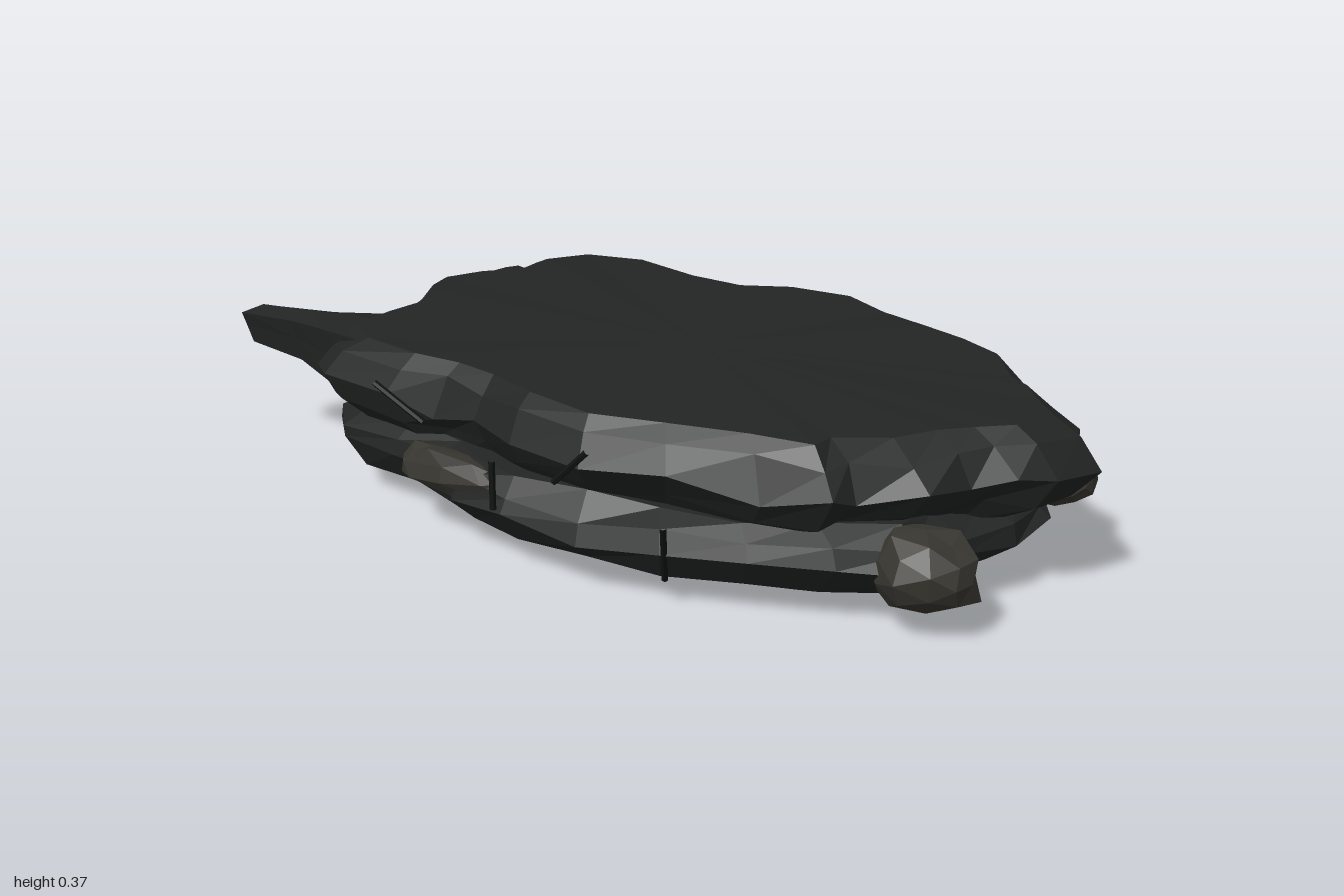
import * as THREE from 'three';

const rock = new THREE.MeshStandardMaterial({ color: 0x222524, flatShading: true });
const stone = new THREE.MeshStandardMaterial({ color: 0x383630, flatShading: true });
const iron = new THREE.MeshStandardMaterial({ color: 0x101212, flatShading: true });

// repeatable noise in -1..1
const noise = (a, b, c) => {
  const s = Math.sin(a * 127.1 + b * 311.7 + c * 74.7) * 43758.5453;
  return 2 * (s - Math.floor(s)) - 1;
};

function addMesh(group, geometry, material, name) {
  const mesh = new THREE.Mesh(geometry, material);
  mesh.name = name;
  group.add(mesh);
  return mesh;
}

// skin between rings of points, closed by a fan at each end
function loft(rings) {
  const pos = [];
  const tri = (...pts) => pts.forEach((p) => pos.push(p.x, p.y, p.z));
  const centre = (r) => r.reduce((s, p) => s.add(p), new THREE.Vector3()).divideScalar(r.length);
  const n = rings[0].length;
  const first = rings[0], last = rings[rings.length - 1];
  const c0 = centre(first), c1 = centre(last);
  for (let i = 0; i < n; i++) {
    const j = (i + 1) % n;
    for (let k = 0; k < rings.length - 1; k++) {
      const a = rings[k], b = rings[k + 1];
      tri(a[j], a[i], b[i]);
      tri(a[j], b[i], b[j]);
    }
    tri(c0, first[i], first[j]);
    tri(c1, last[j], last[i]);
  }
  const g = new THREE.BufferGeometry();
  g.setAttribute('position', new THREE.Float32BufferAttribute(pos, 3));
  g.computeVertexNormals();
  return g;
}

// slab from one outline; each level is [height, scale, sideways jitter, height jitter]
function slab(outline, levels) {
  return loft(levels.map(([y, s, jit, jy], k) => outline.map(([x, z], i) => {
    const f = s + jit * noise(i, k, s);
    return new THREE.Vector3(x * f, y + jy * noise(k, i, 3), z * f);
  })));
}

// faceted broken stone
function chunk(centre, size, seed) {
  const g = new THREE.IcosahedronGeometry(1, 1);
  const p = g.attributes.position;
  const v = new THREE.Vector3();
  for (let i = 0; i < p.count; i++) {
    v.fromBufferAttribute(p, i);
    const q = [v.x, v.y, v.z].map((t) => Math.round(t * 100) / 100 + seed);
    v.multiplyScalar(1 + 0.17 * noise(...q));
    p.setXYZ(i, v.x * size[0], v.y * size[1], v.z * size[2]);
  }
  g.translate(...centre);
  g.computeVertexNormals();
  return g;
}

function rod(from, to) {
  const a = new THREE.Vector3(...from), b = new THREE.Vector3(...to);
  return new THREE.TubeGeometry(new THREE.LineCurve3(a, b), 1, 0.007, 6);
}

export function createModel() {
  const group = new THREE.Group();

  // upper crust with the flat top
  const upper = [
    [0.13, -0.59], [0.28, -0.545], [0.42, -0.5], [0.55, -0.47], [0.68, -0.43], [0.79, -0.32],
    [0.87, -0.29], [0.92, -0.22], [1, -0.16], [0.97, -0.04], [0.92, 0.03], [0.86, 0.1],
    [0.83, 0.2], [0.72, 0.29], [0.71, 0.35], [0.56, 0.39], [0.38, 0.46], [0.2, 0.52],
    [0, 0.51], [-0.15, 0.47], [-0.27, 0.47], [-0.4, 0.49], [-0.6, 0.49], [-0.7, 0.43],
    [-0.7, 0.3], [-0.7, 0.2], [-0.75, 0.1], [-0.83, -0.01], [-0.77, -0.11], [-0.72, -0.2],
    [-0.74, -0.32], [-0.68, -0.43], [-0.52, -0.485], [-0.32, -0.47], [-0.16, -0.485], [-0.04, -0.545],
  ];
  addMesh(group, slab(upper, [
    [0.17, 0.86, 0.02, 0.01],
    [0.215, 0.93, 0.025, 0.015],
    [0.275, 0.995, 0.01, 0.025],
    [0.335, 0.945, 0.015, 0.012],
    [0.373, 0.88, 0.015, 0.002],
  ]), rock, 'upperSlab');

  // lower layer with the rounded underside
  const lower = [
    [0.1, -0.57], [0.3, -0.53], [0.5, -0.46], [0.68, -0.39], [0.8, -0.28], [0.88, -0.17],
    [0.9, -0.04], [0.86, 0.1], [0.84, 0.22], [0.71, 0.33], [0.55, 0.41], [0.38, 0.48],
    [0.2, 0.53], [0, 0.55], [-0.15, 0.54], [-0.26, 0.48], [-0.42, 0.47], [-0.6, 0.46],
    [-0.69, 0.38], [-0.7, 0.22], [-0.77, 0.1], [-0.82, -0.02], [-0.75, -0.16], [-0.74, -0.3],
    [-0.66, -0.41], [-0.5, -0.47], [-0.3, -0.46], [-0.1, -0.51],
  ];
  addMesh(group, slab(lower, [
    [0.004, 0.3, 0.02, 0.003],
    [0.016, 0.74, 0.025, 0.004],
    [0.06, 0.91, 0.02, 0.01],
    [0.12, 0.99, 0.015, 0.015],
    [0.165, 0.965, 0.02, 0.012],
    [0.205, 0.9, 0.02, 0.01],
  ]), rock, 'lowerSlab');

  // splintered arm on the right side: [x, z back, z front, y low, y high]
  const arm = [
    [-0.5, 0.2, 0.43, 0.21, 0.37], [-0.7, 0.22, 0.41, 0.215, 0.36],
    [-0.83, 0.255, 0.385, 0.235, 0.345], [-0.985, 0.29, 0.4, 0.25, 0.335],
  ].map(([x, z0, z1, y0, y1], k) => {
    const zm = (z0 + z1) / 2, ym = (y0 + y1) / 2;
    return [[z0, y1 - 0.02], [zm, y1], [z1, y1 - 0.01], [z1 - 0.01, ym], [z1 - 0.02, y0], [zm, y0 + 0.02], [z0, ym]]
      .map(([z, y], i) => new THREE.Vector3(x + (k === 3 ? 0.015 * noise(i, k, 2) : 0), y, z));
  });
  addMesh(group, loft(arm), rock, 'splinteredArm');

  // lighter stones wedged between the layers
  [
    [[0.82, 0.13, 0.2], [0.13, 0.085, 0.095], 1],
    [[0.84, 0.175, -0.27], [0.07, 0.045, 0.1], 2],
    [[-0.18, 0.15, 0.475], [0.19, 0.055, 0.06], 3],
    [[-0.73, 0.16, -0.28], [0.11, 0.05, 0.07], 4],
    [[0.4, 0.17, -0.46], [0.16, 0.04, 0.05], 5],
  ].forEach(([c, s, seed]) => addMesh(group, chunk(c, s, seed), stone, 'wedgedStone'));

  // dark rock corner above the right-hand stone
  addMesh(group, chunk([-0.76, 0.28, -0.29], [0.085, 0.05, 0.06], 7), rock, 'brokenCorner');

  // loose iron rods along the front
  [
    [[-0.365, 0.335, 0.548], [-0.255, 0.262, 0.513]],
    [[0.018, 0.157, 0.58], [0.018, 0.263, 0.58]],
    [[0.185, 0.26, 0.574], [0.257, 0.336, 0.553]],
    [[0.408, 0.2, 0.5], [0.37, 0.06, 0.45]],
  ].forEach(([a, b]) => addMesh(group, rod(a, b), iron, 'ironRod'));

  return group;
}
